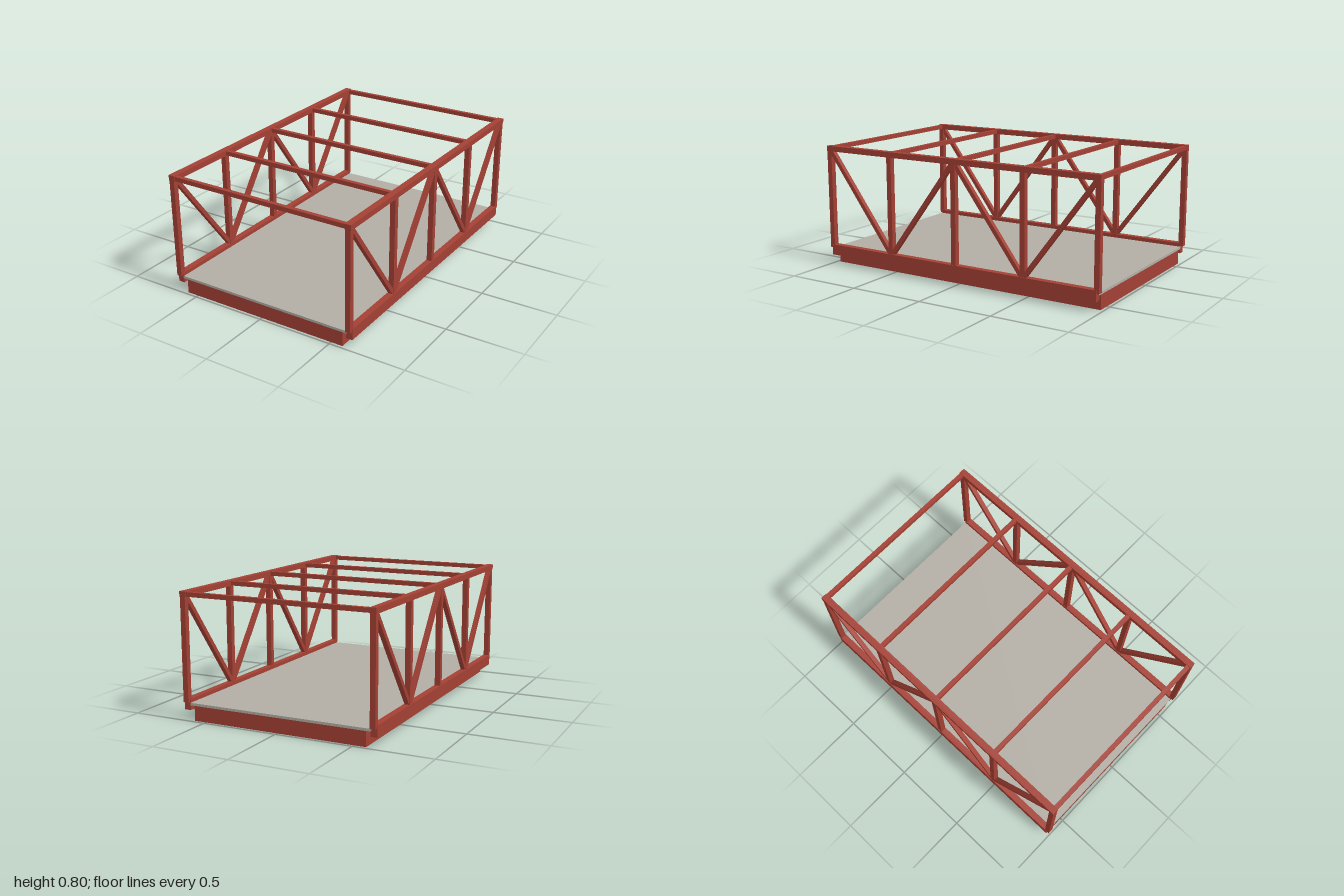
import * as THREE from 'three';

export function createModel() {
  const model = new THREE.Group();
  model.name = 'trussBridge';
  const red = new THREE.MeshStandardMaterial({ color: 0xa44034 });
  red.name = 'oxide red steel';
  const grey = new THREE.MeshStandardMaterial({ color: 0xb2aea4 });
  grey.name = 'concrete grey';

  function box(parent, name, size, pos, material = red) {
    const mesh = new THREE.Mesh(new THREE.BoxGeometry(...size), material);
    mesh.name = name;
    mesh.position.set(...pos);
    parent.add(mesh);
    return mesh;
  }

  const stations = [-0.983, -0.4915, 0, 0.4915, 0.983];
  const topY = 0.782, bottomY = 0.125;

  // Road deck and the girder block beneath it
  box(model, 'floorGirder', [1.156, 0.095, 1.96], [0, 0.0475, 0]);
  box(model, 'roadDeck', [1.22, 0.016, 1.965], [0, 0.103, 0], grey);

  // Matching side trusses
  for (const side of [-1, 1]) {
    const truss = new THREE.Group();
    truss.name = side > 0 ? 'leftTruss' : 'rightTruss';
    truss.position.x = side * 0.626;
    model.add(truss);

    box(truss, 'topChord', [0.042, 0.035, 2], [0, topY, 0]);
    box(truss, 'bottomChord', [0.042, 0.07, 1.965], [0, 0.1, 0]);

    for (const z of stations) {
      box(truss, 'post', [0.035, 0.655, 0.034], [0, 0.4425, z]);
    }

    // Diagonals zigzag between the chords
    for (let i = 0; i < 4; i++) {
      const y0 = i % 2 ? bottomY : topY, y1 = i % 2 ? topY : bottomY;
      const dz = stations[i + 1] - stations[i], dy = y1 - y0;
      const brace = box(truss, 'diagonalBrace', [0.03, 0.027, Math.hypot(dy, dz) - 0.02],
        [0, (y0 + y1) / 2, (stations[i] + stations[i + 1]) / 2]);
      brace.rotation.x = -Math.atan2(dy, dz);
    }
  }

  // Overhead beams joining the trusses
  for (const z of stations) {
    box(model, 'crossBeam', [1.25, 0.028, 0.028], [0, topY, z]);
  }

  return model;
}
